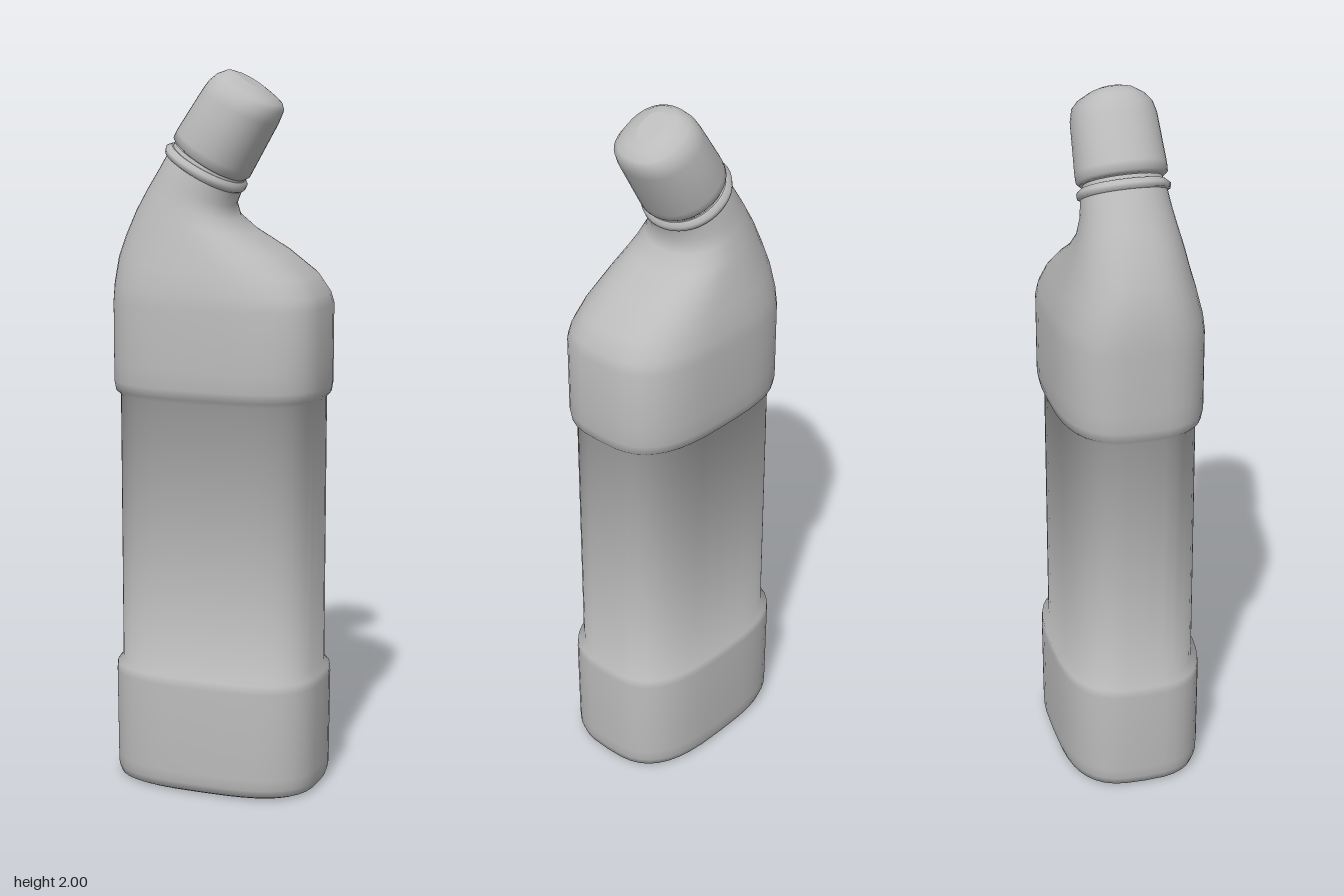
import * as THREE from 'three';

const SEGMENTS = 40;
const plastic = new THREE.MeshStandardMaterial({ color: 0xbbbbbb });
plastic.name = 'grey plastic';

// Ring from its left and right points in the xy plane, its half depth and its squareness.
function ringPoints([xl, yl, xr, yr, depth, power]) {
  const points = [];
  const bend = (v) => Math.sign(v) * Math.pow(Math.abs(v), 2 / power);
  for (let j = 0; j < SEGMENTS; j++) {
    const t = (j / SEGMENTS) * Math.PI * 2;
    const u = (bend(Math.cos(t)) + 1) / 2;
    points.push(new THREE.Vector3(xl + (xr - xl) * u, yl + (yr - yl) * u, depth * bend(Math.sin(t))));
  }
  return points;
}

// Smooth closed skin through the rings, listed from bottom to top.
function loft(name, rings) {
  const rows = rings.map(ringPoints);
  const position = [], normal = [], index = [];
  const dir = (a, b) => b.clone().sub(a).normalize();
  rows.forEach((row, i) => row.forEach((p, j) => {
    const around = dir(row[(j + SEGMENTS - 1) % SEGMENTS], row[(j + 1) % SEGMENTS]);
    const along = new THREE.Vector3();
    if (i > 0) along.add(dir(rows[i - 1][j], p));
    if (i < rows.length - 1) along.add(dir(p, rows[i + 1][j]));
    position.push(...p.toArray());
    normal.push(...along.cross(around).normalize().toArray());
    if (i === rows.length - 1) return;
    const a = i * SEGMENTS + j, b = i * SEGMENTS + (j + 1) % SEGMENTS;
    index.push(a, a + SEGMENTS, b, b, a + SEGMENTS, b + SEGMENTS);
  }));
  // flat end discs
  [[0, -1], [rows.length - 1, 1]].forEach(([i, side]) => {
    const [xl, yl, xr, yr] = rings[i];
    const n = new THREE.Vector3(yl - yr, xr - xl, 0).normalize().multiplyScalar(side);
    const centre = position.length / 3;
    const middle = new THREE.Vector3((xl + xr) / 2, (yl + yr) / 2, 0);
    [middle, ...rows[i]].forEach((p) => {
      position.push(...p.toArray());
      normal.push(...n.toArray());
    });
    for (let j = 0; j < SEGMENTS; j++) {
      const a = centre + 1 + j, b = centre + 1 + (j + 1) % SEGMENTS;
      if (side > 0) index.push(centre, b, a);
      else index.push(centre, a, b);
    }
  });
  const geometry = new THREE.BufferGeometry();
  geometry.setAttribute('position', new THREE.Float32BufferAttribute(position, 3));
  geometry.setAttribute('normal', new THREE.Float32BufferAttribute(normal, 3));
  geometry.setIndex(index);
  const mesh = new THREE.Mesh(geometry, plastic);
  mesh.name = name;
  return mesh;
}

const level = (y, width, depth) => [-width, y, width, y, depth, 3];

export function createModel() {
  const group = new THREE.Group();
  group.name = 'bottle';

  group.add(loft('bottleBody', [
    // base
    level(0, 0.275, 0.18),
    level(0.008, 0.29, 0.195),
    level(0.03, 0.297, 0.203),
    level(0.06, 0.298, 0.204),
    level(0.31, 0.3, 0.205),
    level(0.335, 0.298, 0.203),
    level(0.352, 0.284, 0.185),
    // recessed grip
    level(1.11, 0.284, 0.185),
    // shoulder
    level(1.124, 0.296, 0.2),
    level(1.15, 0.3, 0.205),
    level(1.2, 0.3, 0.205),
    level(1.37, 0.3, 0.205),
    [-0.298, 1.42, 0.292, 1.4, 0.2, 2.9],
    [-0.29, 1.49, 0.26, 1.45, 0.184, 2.7],
    [-0.272, 1.55, 0.18, 1.512, 0.165, 2.5],
    [-0.242, 1.62, 0.09, 1.562, 0.147, 2.35],
    // slanted neck
    [-0.21, 1.68, 0.04, 1.6, 0.132, 2.2],
    [-0.18, 1.73, 0.03, 1.635, 0.122, 2.1],
    [-0.152, 1.778, 0.045, 1.67, 0.115, 2.1],
    [-0.13, 1.81, 0.055, 1.705, 0.105, 2.1],
  ]));

  group.add(loft('neckRing', [
    [-0.148, 1.775, 0.042, 1.668, 0.112, 2.1],
    [-0.159, 1.784, 0.052, 1.671, 0.123, 2.1],
    [-0.157, 1.797, 0.059, 1.684, 0.124, 2.1],
    [-0.14, 1.803, 0.054, 1.696, 0.112, 2.1],
  ]));

  group.add(loft('cap', [
    [-0.12, 1.81, 0.056, 1.702, 0.112, 2.1],
    [-0.134, 1.824, 0.067, 1.707, 0.121, 2.1],
    [-0.122, 1.845, 0.077, 1.725, 0.122, 2.1],
    [-0.05, 1.95, 0.15, 1.855, 0.114, 2.2],
    [-0.032, 1.973, 0.164, 1.888, 0.105, 2.3],
    [-0.012, 1.99, 0.161, 1.905, 0.088, 2.3],
    [0.014, 1.999, 0.145, 1.923, 0.06, 2.3],
    [0.04, 1.993, 0.12, 1.946, 0.035, 2.2],
  ]));

  return group;
}
